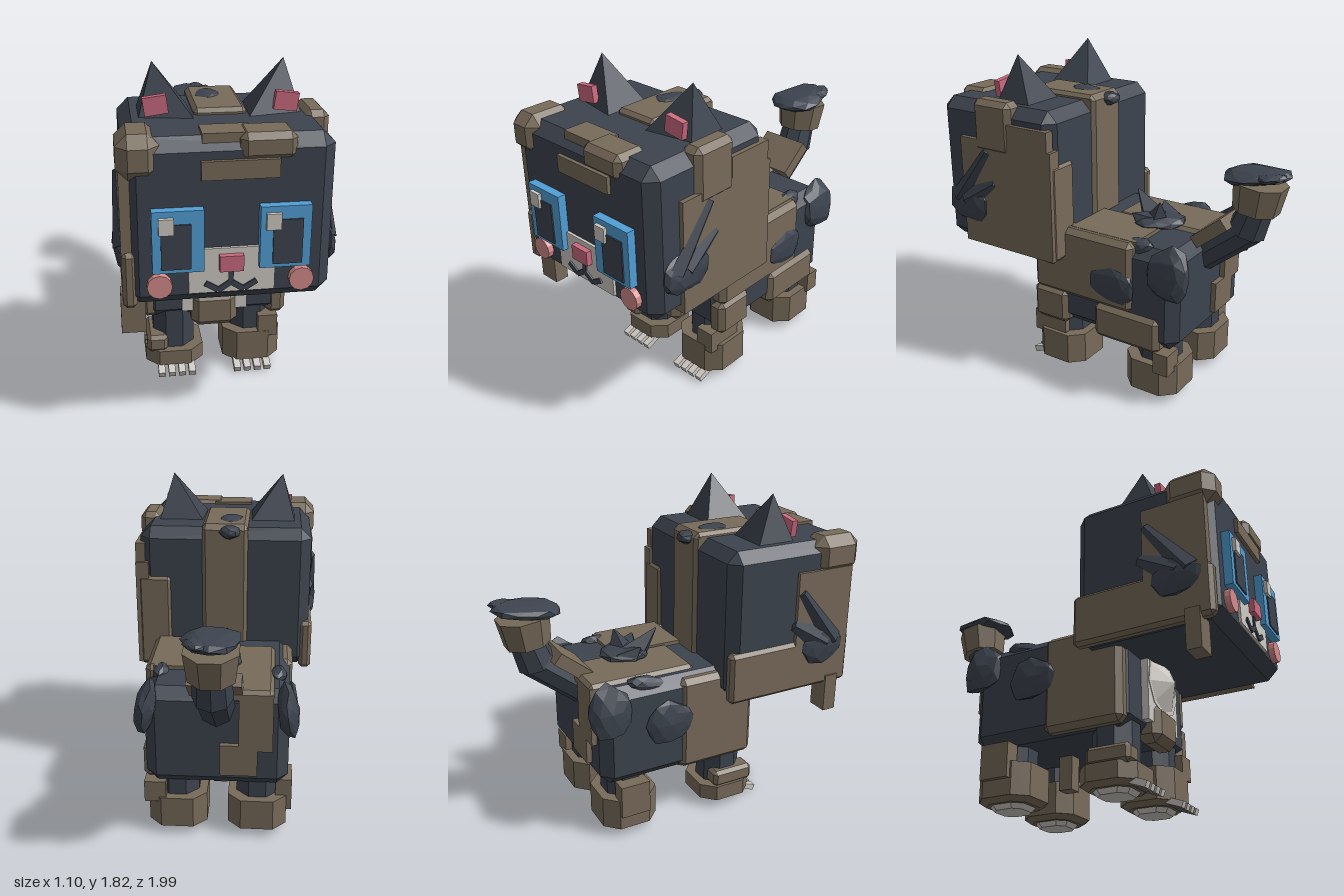
import * as THREE from 'three';
import { ConvexGeometry } from 'three/addons/geometries/ConvexGeometry.js';

const mat = (name, color, extra = {}) => {
  const m = new THREE.MeshStandardMaterial({ color, ...extra });
  m.name = name;
  return m;
};

export function createModel() {
  const flat = { flatShading: true };
  const dark = mat('charcoal fur', 0x3d444f, flat);
  const brown = mat('brown fur', 0x786b5a, flat);
  const white = mat('cream white', 0xcfcac4, flat);
  const blue = mat('eye blue', 0x529fd6, flat);
  const pink = mat('nose pink', 0xcb6a7f, flat);
  const blush = mat('cheek blush', 0xd48a8a, flat);
  const root = new THREE.Group();
  root.name = 'blockyCat';

  const add = (name, geo, m, x = 0, y = 0, z = 0, rx = 0, ry = 0, rz = 0) => {
    const mesh = new THREE.Mesh(geo, m);
    mesh.name = name;
    mesh.position.set(x, y, z);
    mesh.rotation.set(rx, ry, rz);
    root.add(mesh);
    return mesh;
  };

  // Block from min/max ranges, with optional chamfered edges
  const block = (name, m, [x0, x1], [y0, y1], [z0, z1], c = 0) => {
    const w = (x1 - x0) / 2, h = (y1 - y0) / 2, d = (z1 - z0) / 2;
    let geo = new THREE.BoxGeometry(2 * w, 2 * h, 2 * d);
    if (c) {
      const pts = [];
      for (const i of [-1, 1]) for (const j of [-1, 1]) for (const k of [-1, 1]) {
        pts.push(new THREE.Vector3(i * w, j * (h - c), k * (d - c)),
          new THREE.Vector3(i * (w - c), j * h, k * (d - c)),
          new THREE.Vector3(i * (w - c), j * (h - c), k * d));
      }
      geo = new ConvexGeometry(pts);
    }
    return add(name, geo, m, (x0 + x1) / 2, (y0 + y1) / 2, (z0 + z1) / 2);
  };

  // Faceted tuft of fur: an uneven, squashed icosphere
  const tuft = (name, m, x, y, z, a, b, c, rx = 0, rz = 0) => {
    const geo = new THREE.IcosahedronGeometry(1, 1);
    const p = geo.attributes.position, v = new THREE.Vector3();
    for (let i = 0; i < p.count; i++) {
      v.fromBufferAttribute(p, i);
      v.multiplyScalar(0.94 + 0.1 * Math.sin(v.x * 7 + v.y * 11 + v.z * 5 + x * 9));
      p.setXYZ(i, v.x * a, v.y * b, v.z * c);
    }
    return add(name, geo, m, x, y, z, rx, 0, rz);
  };

  // Tapered prism between two points
  const prism = (name, m, a, b, r0, r1, sides = 8) => {
    const A = new THREE.Vector3(...a), B = new THREE.Vector3(...b);
    const dir = B.clone().sub(A);
    const mesh = add(name, new THREE.CylinderGeometry(r1, r0, dir.length(), sides), m);
    mesh.position.copy(A).add(B).multiplyScalar(0.5);
    mesh.quaternion.setFromUnitVectors(new THREE.Vector3(0, 1, 0), dir.normalize());
    return mesh;
  };

  // Head and its brown patches
  block('head', dark, [-0.49, 0.49], [0.74, 1.57], [0.14, 0.93], 0.06);
  block('foreheadCorner', brown, [-0.52, -0.32], [1.38, 1.595], [0.67, 0.955], 0.055);
  block('foreheadPatchLow', brown, [-0.14, 0.22], [1.38, 1.47], [0.85, 0.95]);
  block('foreheadPatchHigh', brown, [0.04, 0.3], [1.46, 1.59], [0.76, 0.95], 0.03);
  block('foreheadPatchTop', brown, [-0.13, 0.1], [1.5, 1.585], [0.76, 0.9]);
  block('crownStripe', brown, [-0.13, 0.13], [1.52, 1.6], [0.13, 0.57], 0.02);
  block('napeStripe', brown, [-0.13, 0.13], [0.88, 1.59], [0.12, 0.2], 0.02);
  block('templeTop', brown, [0.4, 0.52], [1.3, 1.595], [0.4, 0.66], 0.03);
  block('leftCheekPatch', brown, [0.44, 0.515], [0.75, 1.37], [0.13, 0.76]);
  block('leftCheekPatchUpper', brown, [0.46, 0.515], [1.36, 1.48], [0.15, 0.42]);
  block('leftNapePatch', brown, [0.3, 0.515], [0.73, 1.3], [0.125, 0.24], 0.03);
  block('rightJawPatch', brown, [-0.51, -0.44], [0.73, 1.02], [0.14, 0.92], 0.02);
  block('rightCheekPatch', brown, [-0.51, -0.45], [0.9, 1.42], [0.55, 0.9]);
  block('rightDangle', brown, [-0.52, -0.4], [0.56, 0.78], [0.77, 0.85]);

  // Face
  block('muzzleLow', white, [-0.2, 0.21], [0.81, 0.95], [0.92, 0.945]);
  block('muzzleHigh', white, [-0.13, 0.13], [0.94, 1.04], [0.92, 0.945]);
  block('nose', pink, [-0.057, 0.057], [0.93, 1.01], [0.93, 0.975]);
  block('mouthStem', dark, [-0.012, 0.012], [0.855, 0.93], [0.94, 0.953]);
  for (const s of [-1, 1]) {
    const stroke = new THREE.BoxGeometry(0.07, 0.028, 0.012);
    add('mouthInner', stroke, dark, s * 0.033, 0.842, 0.948, 0, 0, -s * 0.6);
    add('mouthOuter', stroke, dark, s * 0.092, 0.845, 0.948, 0, 0, s * 0.55);
    add('cheekBlush', new THREE.CylinderGeometry(0.06, 0.06, 0.04, 12), blush,
      s * 0.337, 0.862, 0.942, Math.PI / 2);
    block('eye', blue, s < 0 ? [-0.37, -0.13] : [0.13, 0.37], [0.94, 1.25], [0.92, 0.975]);
    block('pupil', dark, s < 0 ? [-0.33, -0.19] : [0.19, 0.33], [0.96, 1.185], [0.97, 0.982]);
    block('eyeGlint', white, s < 0 ? [-0.34, -0.27] : [0.155, 0.225], [1.14, 1.22], [0.97, 0.994]);

    // Ears
    const ear = [[0.4, 1.55, 0.35], [0.13, 1.55, 0.35], [0.12, 1.55, 0.63], [0.4, 1.55, 0.58], [0.32, 1.82, 0.48]];
    add('ear', new ConvexGeometry(ear.map(([x, y, z]) => new THREE.Vector3(s * x, y, z))), dark);
    add('innerEar', new THREE.BoxGeometry(0.115, 0.09, 0.035), pink, s * 0.315, 1.635, 0.592, 0, 0, -s * 0.13);

    // Side whisker tufts
    tuft('cheekTuft', dark, s * 0.5, 0.98, 0.73, 0.045, 0.12, 0.16);
    prism('cheekSpike', dark, [s * 0.51, 1.0, 0.8], [s * 0.515, 1.31, 0.57], 0.06, 0.025, 4).scale.x = 0.6;
    prism('cheekSpikeBack', dark, [s * 0.51, 1.0, 0.74], [s * 0.51, 1.13, 0.53], 0.08, 0.03, 4).scale.x = 0.5;

    // Flank and haunch tufts
    tuft('flankTuft', dark, s * 0.395, 0.66, -0.18, 0.04, 0.13, 0.155);
    tuft('haunchTuft', dark, s * 0.375, 0.79, -0.52, 0.06, 0.16, 0.135, 0, s * 0.15);
    tuft('hipTuft', dark, s * 0.32, 0.88, -0.28, 0.05, 0.05, 0.13, 0.2);
  }
  tuft('crownTuft', dark, -0.03, 1.59, 0.29, 0.075, 0.025, 0.1);
  tuft('napeTuft', dark, -0.03, 1.56, 0.12, 0.065, 0.04, 0.05);

  // Body and its brown patches
  block('body', dark, [-0.385, 0.385], [0.33, 0.9], [-0.56, 0.37], 0.06);
  block('leftSidePatch', brown, [0.28, 0.41], [0.51, 0.92], [-0.3, 0.36], 0.03);
  block('leftShoulderPatch', brown, [0.3, 0.41], [0.32, 0.53], [0.13, 0.37], 0.03);
  block('leftBellyPatch', brown, [0.24, 0.41], [0.31, 0.52], [-0.47, -0.05], 0.03);
  block('rightSidePatch', brown, [-0.4, -0.3], [0.34, 0.88], [-0.1, 0.36], 0.03);
  block('backPatchLeft', brown, [0.04, 0.36], [0.85, 0.922], [-0.3, 0.12]);
  block('backPatchRight', brown, [-0.3, 0.04], [0.85, 0.92], [-0.59, 0.03], 0.02);
  block('rumpPatch', brown, [-0.3, -0.12], [0.57, 0.9], [-0.59, -0.52]);
  block('rumpPatchLow', brown, [-0.22, -0.02], [0.42, 0.6], [-0.59, -0.52]);
  block('bellyDangle', brown, [-0.04, 0.04], [0.14, 0.4], [-0.21, -0.13]);

  // Chest
  block('chestPlate', white, [-0.18, 0.18], [0.4, 0.74], [0.35, 0.41]);
  add('chestTuft', new THREE.ConeGeometry(0.18, 0.08, 9), white, 0, 0.65, 0.445, Math.PI / 2);
  add('chestTuftRim', new THREE.CylinderGeometry(0.18, 0.16, 0.03, 9), white, 0, 0.65, 0.4, Math.PI / 2);
  block('chestBib', brown, [-0.13, 0.125], [0.3, 0.51], [0.3, 0.44], 0.04);

  // Spiky tuft on the back
  tuft('backTuft', dark, 0.02, 0.93, -0.24, 0.15, 0.045, 0.15);
  for (const [x, z, tx, tz, h] of [[0, -0.2, -0.03, -0.07, 1.06], [0.05, -0.25, 0.08, -0.28, 1.05],
    [-0.05, -0.25, -0.1, -0.2, 0.99], [0.08, -0.2, 0.14, -0.14, 0.98]]) {
    prism('backSpike', dark, [x, 0.91, z], [tx, h, tz], 0.09, 0.005, 4);
  }

  // Legs, feet, soles and claws
  for (const s of [-1, 1]) for (const front of [true, false]) {
    const z = front ? 0.24 : -0.38, x = s * 0.22;
    const leg = add('leg', new THREE.CylinderGeometry(0.125, 0.125, 0.34, 8), dark, x, 0.25, z);
    leg.rotation.y = Math.PI / 8;
    const h = s < 0 && front ? 0.14 : 0.23;
    const slab = (name, m, r, y0, y1, top = r) => {
      const g = new THREE.Shape();
      const c = r * 0.45;
      [[r, r - c], [r - c, r], [c - r, r], [-r, r - c], [-r, c - r], [c - r, -r], [r - c, -r], [r, c - r]]
        .forEach(([a, b], i) => (i ? g.lineTo(a, b) : g.moveTo(a, b)));
      const geo = new THREE.ExtrudeGeometry(g, { depth: y1 - y0, bevelEnabled: false });
      const p = geo.attributes.position;
      for (let i = 0; i < p.count; i++) {
        const k = p.getZ(i) > 0.001 ? top / r : 1;
        p.setXY(i, p.getX(i) * k, p.getY(i) * k);
      }
      geo.computeVertexNormals();
      add(name, geo, m, x, y0, z, -Math.PI / 2);
    };
    slab('foot', brown, 0.162, 0.05, h);
    slab('footUnderside', brown, 0.125, 0.025, 0.05, 0.16);
    slab('sole', white, 0.085, 0, 0.03, 0.11);
    if (front) {
      for (let i = 0; i < 4; i++) {
        add('claw', new THREE.BoxGeometry(0.038, 0.035, 0.11), white,
          s * 0.215 + (i - 1.5) * 0.057, 0.036, 0.398, 0.35);
      }
    }
  }
  block('rightFootCuff', brown, [-0.375, -0.26], [0.13, 0.23], [0.14, 0.39], 0.02);
  block('leftShinPatch', brown, [0.25, 0.36], [0.2, 0.33], [0.18, 0.4]);
  block('leftHockPatch', brown, [0.28, 0.4], [0.2, 0.325], [-0.53, -0.44]);
  block('rightHockPatch', brown, [-0.41, -0.32], [0.14, 0.33], [-0.47, -0.3]);

  // Tail with a brown saddle, cuff and dark tip
  prism('tailBase', dark, [0, 0.76, -0.48], [0, 1.0, -0.78], 0.1, 0.1);
  prism('tailMiddle', dark, [0, 0.97, -0.765], [0, 1.16, -0.83], 0.105, 0.09);
  add('tailSaddle', new THREE.BoxGeometry(0.28, 0.07, 0.22), brown, 0, 0.965, -0.61, 0.68);
  const cuff = prism('tailCuff', brown, [0, 1.1, -0.81], [0, 1.255, -0.83], 0.125, 0.145);
  cuff.rotateY(Math.PI / 8);
  tuft('tailTip', dark, 0, 1.285, -0.79, 0.155, 0.045, 0.2, 0.1);
  tuft('tailTipCrest', dark, 0.06, 1.305, -0.9, 0.07, 0.028, 0.09, 0.15);

  return root;
}
